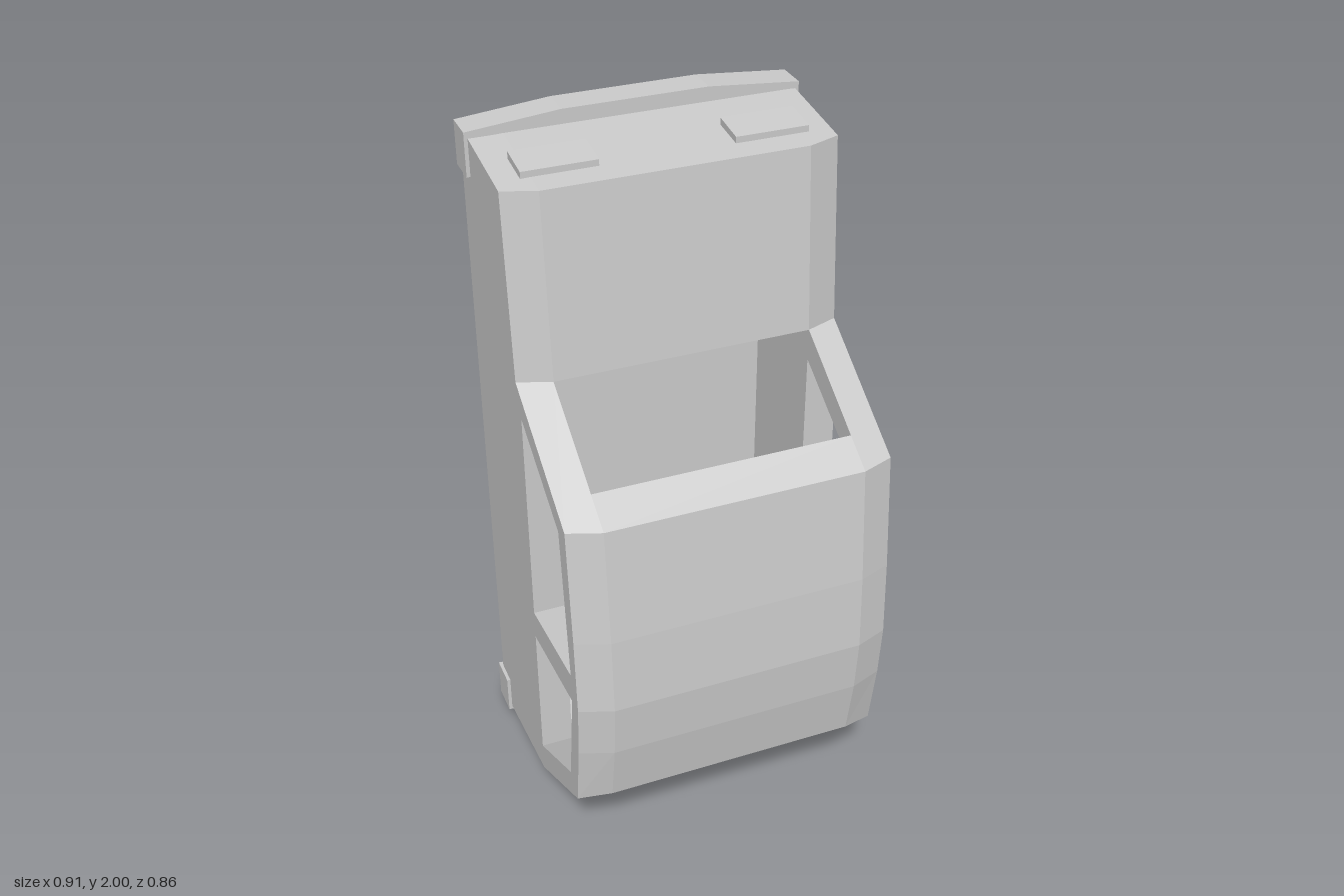
import * as THREE from 'three';

const W = 0.445, IN = 0.355; // outer half width, half width of the central opening
const grey = new THREE.MeshStandardMaterial({ color: 0xcccccc, flatShading: true });

// Side profile given as [z, y] pairs, extruded along x from x0 to x1
function prism(points, x0, x1, holes = []) {
  const toVec = (p) => new THREE.Vector2(-p[0], p[1]);
  const shape = new THREE.Shape(points.map(toVec));
  shape.holes = holes.map((h) => new THREE.Path(h.map(toVec)));
  const geo = new THREE.ExtrudeGeometry(shape, { depth: x1 - x0, bevelEnabled: false });
  return geo.rotateY(Math.PI / 2).translate(x0, 0, 0);
}

// Pull the outer front edge of a side wall back, giving the angled corner
function chamfer(geo) {
  const p = geo.attributes.position;
  for (let i = 0; i < p.count; i++) {
    const y = p.getY(i), z = p.getZ(i);
    if (Math.abs(p.getX(i)) < W - 0.01) continue;
    if (z > 0.36 || (y > 1.4 && z > -0.1)) {
      p.setZ(i, z - 0.033);
      if (y < 0.35) p.setY(i, y - 0.018);
    }
  }
  geo.computeVertexNormals();
  return geo;
}

// Arched rail across the back; dir is +1 for the top and -1 for the bottom
function rail(end, mid, dir) {
  const h = 0.12 * dir, x = 0.455, c = 0.2;
  const shape = new THREE.Shape([
    [-x, end], [-c, mid], [c, mid], [x, end],
    [x, end - h], [c, mid - h], [-c, mid - h], [-x, end - h],
  ].map((p) => new THREE.Vector2(...p)));
  return new THREE.ExtrudeGeometry(shape, { depth: 0.09, bevelEnabled: false }).translate(0, 0, -0.39);
}

export function createModel() {
  const model = new THREE.Group();
  const add = (name, geo) => {
    const mesh = new THREE.Mesh(geo, grey);
    mesh.name = name;
    model.add(mesh);
    return mesh;
  };

  // Bulging front outline, top to bottom
  const bulge = [[0.39, 1.2], [0.42, 0.87], [0.432, 0.65], [0.42, 0.49], [0.39, 0.31]];
  const outline = [[-0.375, 1.968], [-0.01, 1.93], [0.03, 1.425], ...bulge, [0.03, 0.11], [-0.375, 0.063]];
  const windows = [
    [[0.03, 1.335], [0.305, 1.17], [0.35, 0.735], [0.03, 0.7]],
    [[0.03, 0.615], [0.35, 0.648], [0.305, 0.345], [0.03, 0.197]],
  ];

  // Side walls with two windows each
  add('leftSideWall', chamfer(prism(outline, IN, W, windows)));
  add('rightSideWall', chamfer(prism(outline, -W, -IN, windows)));

  // Central body with its deep recess
  add('body', prism([
    [-0.375, 1.968], [-0.01, 1.93], [0.03, 1.425], [-0.29, 1.4],
    [-0.29, 0.23], [0.03, 0.2], [0.03, 0.11], [-0.375, 0.063],
  ], -IN, IN));

  // Curved front panel, open above and below
  add('frontPanel', prism([
    ...bulge, [0.3, 0.262], [0.305, 0.345], [0.35, 0.648], [0.35, 0.735], [0.305, 1.17], [0.3, 1.256],
  ], -IN, IN));

  // Back rails
  add('topRail', rail(1.977, 2.0, 1));
  add('bottomRail', rail(0.06, 0.035, -1));

  // Pads on the top and under the base
  for (const [side, s] of [['left', 1], ['right', -1]]) {
    const x0 = s > 0 ? 0.18 : -0.38;
    add(side + 'TopPad', prism([[-0.178, 1.966], [-0.077, 1.954], [-0.077, 1.93], [-0.178, 1.94]], x0, x0 + 0.2));
    const x1 = s > 0 ? 0.283 : -0.4;
    add(side + 'BasePad', prism([[-0.135, 0.11], [-0.018, 0.12], [-0.018, 0.075], [-0.135, 0.069]], x1, x1 + 0.117));
  }

  // Tapering prop at the back
  add('backProp', prism([[-0.37, 0.64], [-0.378, 0.64], [-0.432, 0.04], [-0.432, 0], [-0.36, 0]].reverse(), 0.25, 0.32));
  return model;
}
